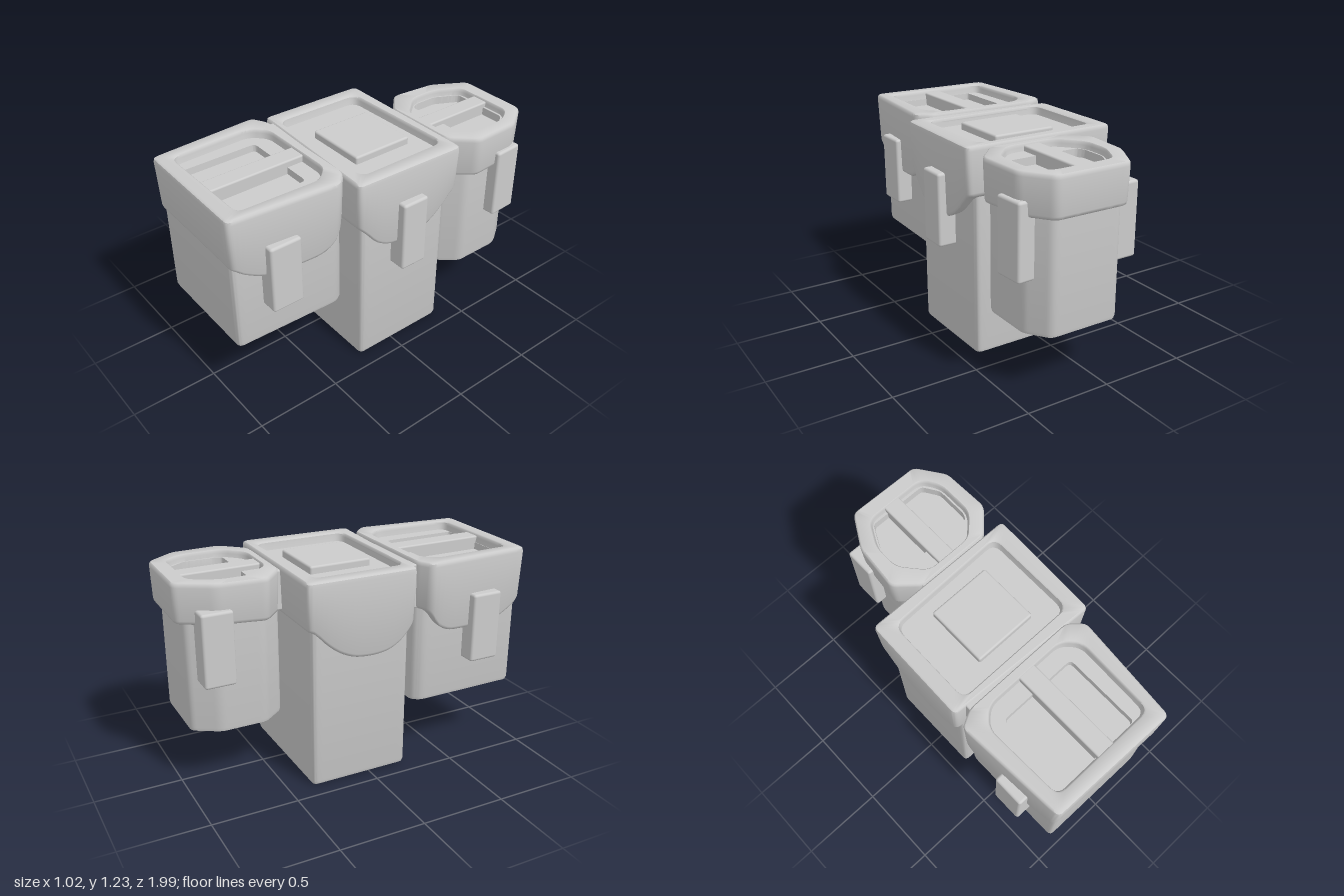
import * as THREE from 'three';
import { toCreasedNormals } from 'three/addons/utils/BufferGeometryUtils.js';
import { RoundedBoxGeometry } from 'three/addons/geometries/RoundedBoxGeometry.js';

const material = new THREE.MeshStandardMaterial({ color: 0xcccccc });

// Closed outline of [x, z] corners, rounded by r; y is a height or a function of z.
function ring(corners, y, scale = 1, r = 0.03) {
  const n = corners.length;
  const cx = corners.reduce((s, c) => s + c[0], 0) / n;
  const cz = corners.reduce((s, c) => s + c[1], 0) / n;
  const pts = corners.map(([x, z]) => new THREE.Vector2(cx + (x - cx) * scale, cz + (z - cz) * scale));
  const toward = (a, b) => a.clone().lerp(b, Math.min(0.4, r / Math.max(a.distanceTo(b), 1e-6)));
  const out = [];
  for (let i = 0; i < n; i++) {
    const prev = pts[(i + n - 1) % n], p = pts[i], next = pts[(i + 1) % n], after = pts[(i + 2) % n];
    out.push(...new THREE.QuadraticBezierCurve(toward(p, prev), p, toward(p, next)).getPoints(5));
    const a = toward(p, next), b = toward(next, p);
    for (let k = 1; k < 20; k++) out.push(a.clone().lerp(b, k / 20));
  }
  return out.map((p) => new THREE.Vector3(p.x, typeof y === 'function' ? y(p.y) : y, p.y));
}

// Skin over rings of equal point count
function loft(rings) {
  const n = rings[0].length, index = [];
  const positions = rings.flat().flatMap((p) => [p.x, p.y, p.z]);
  for (let j = 0; j < rings.length - 1; j++) {
    for (let i = 0; i < n; i++) {
      const a = j * n + i, b = j * n + (i + 1) % n;
      index.push(a, a + n, b, b, a + n, b + n);
    }
  }
  const g = new THREE.BufferGeometry();
  g.setAttribute('position', new THREE.Float32BufferAttribute(positions, 3));
  g.setIndex(index);
  return toCreasedNormals(g, 0.75);
}

// Smooth hem height along z from a few [z, y] points
function hemCurve(points) {
  return (z) => {
    const last = points.length - 1;
    if (z <= points[0][0]) return points[0][1];
    if (z >= points[last][0]) return points[last][1];
    const i = points.findIndex((p) => p[0] > z) - 1;
    const t = (z - points[i][0]) / (points[i + 1][0] - points[i][0]);
    const slope = (k) => {
      const a = points[Math.max(k - 1, 0)], b = points[Math.min(k + 1, last)];
      return (b[1] - a[1]) / (b[0] - a[0]);
    };
    const h = points[i + 1][0] - points[i][0], t2 = t * t, t3 = t2 * t;
    return (2 * t3 - 3 * t2 + 1) * points[i][1] + (t3 - 2 * t2 + t) * h * slope(i)
      + (3 * t2 - 2 * t3) * points[i + 1][1] + (t3 - t2) * h * slope(i + 1);
  };
}

function mesh(name, geometry, parent) {
  const m = new THREE.Mesh(geometry, material);
  m.name = name;
  parent.add(m);
  return m;
}

// Rounded block between two limits on each axis
function block(name, parent, [x0, x1], [y0, y1], [z0, z1], r = 0.015) {
  const m = mesh(name, new RoundedBoxGeometry(x1 - x0, y1 - y0, z1 - z0, 3, r), parent);
  m.position.set((x0 + x1) / 2, (y0 + y1) / 2, (z0 + z1) / 2);
  return m;
}

function pouch(name, parent, { body, base, lid, top, hem, recess, recessR, depth, well, wellDepth }) {
  const group = new THREE.Group();
  group.name = name;
  parent.add(group);

  // Body with a softened bottom edge
  mesh('pouchBody', loft([
    ring(body, base, 0), ring(body, base, 0.95), ring(body, base + 0.006, 0.985),
    ring(body, base + 0.025), ring(body, top - 0.15),
  ]), group);

  // Lid with scalloped hem, rounded rim and sunken panel
  const lift = (d) => (z) => hem(z) + d;
  const floor = top - depth;
  const rings = [
    ring(lid, lift(0.005), 0.8), ring(lid, lift(0), 0.95), ring(lid, lift(0.005), 0.97), ring(lid, lift(0.02), 0.982),
    ring(lid, top - 0.025), ring(lid, top - 0.007, 0.992), ring(lid, top, 0.97),
    ring(recess, top, 1.025, recessR), ring(recess, top - 0.006, 1.005, recessR),
    ring(recess, top - 0.02, 1, recessR), ring(recess, floor, 0.98, recessR),
  ];
  if (well) rings.push(ring(well, floor, 1, 0.02), ring(well, top - wellDepth, 0.99, 0.02), ring(well, top - wellDepth, 0));
  else rings.push(ring(recess, floor, 0));
  mesh('pouchLid', loft(rings), group);
  return group;
}

export function createModel() {
  const model = new THREE.Group();
  model.name = 'pouchRow';

  // Front pouch
  const front = pouch('frontPouch', model, {
    body: [[-0.415, 0.33], [-0.38, 0.28], [0.27, 0.28], [0.3, 0.33], [0.28, 0.97], [-0.41, 0.965]],
    base: 0.388,
    lid: [[-0.485, 0.33], [-0.39, 0.28], [0.3, 0.28], [0.38, 0.355], [0.325, 0.995], [-0.445, 0.98]],
    top: 1.235,
    hem: hemCurve([[0.28, 0.96], [0.33, 0.95], [0.4, 0.86], [0.5, 0.82], [0.8, 0.83], [0.91, 0.88], [0.97, 0.925], [1, 0.925]]),
    recess: [[-0.385, 0.42], [-0.3, 0.335], [0.2, 0.335], [0.28, 0.42], [0.265, 0.9], [-0.37, 0.9]],
    recessR: 0.05, depth: 0.05,
    well: [[-0.295, 0.45], [-0.28, 0.435], [0.17, 0.435], [0.185, 0.45], [0.185, 0.89], [-0.295, 0.89]],
    wellDepth: 0.09,
  });
  block('lidBar', front, [-0.09, 0.02], [1.12, 1.223], [0.32, 0.92], 0.01);
  block('rightStrap', front, [0.2, 0.385], [0.615, 1.02], [0.61, 0.8]);
  block('leftStrap', front, [-0.51, -0.33], [0.615, 1.02], [0.6, 0.785]);

  // Tall middle pouch
  const middle = pouch('middlePouch', model, {
    body: [[-0.41, -0.36], [0.405, -0.36], [0.405, 0.24], [-0.41, 0.235]],
    base: 0.005,
    lid: [[-0.455, -0.4], [0.475, -0.395], [0.455, 0.295], [-0.465, 0.25]],
    top: 1.222,
    hem: hemCurve([[-0.4, 0.95], [-0.36, 0.94], [-0.28, 0.86], [-0.2, 0.8], [-0.1, 0.762], [0.06, 0.762], [0.16, 0.81], [0.24, 0.9], [0.29, 0.95]]),
    recess: [[-0.365, -0.325], [0.37, -0.345], [0.37, 0.215], [-0.37, 0.215]],
    recessR: 0.06, depth: 0.05,
  });
  block('lidPanel', middle, [-0.17, 0.21], [1.1, 1.215], [-0.25, 0.12], 0.012);
  block('rightStrap', middle, [0.34, 0.508], [0.597, 1.02], [-0.14, 0.03]);

  // Eight-sided rear pouch
  const rear = pouch('rearPouch', model, {
    body: [[-0.08, -0.95], [0.33, -0.95], [0.42, -0.82], [0.42, -0.52], [0.32, -0.4], [-0.07, -0.4], [-0.17, -0.53], [-0.17, -0.8]],
    base: 0.342,
    lid: [[-0.09, -1], [0.35, -0.995], [0.465, -0.83], [0.475, -0.54], [0.35, -0.405], [-0.1, -0.405], [-0.23, -0.52], [-0.205, -0.8]],
    top: 1.212,
    hem: hemCurve([[-1, 0.985], [-0.7, 0.98], [-0.4, 0.965]]),
    recess: [[-0.05, -0.905], [0.32, -0.905], [0.385, -0.8], [0.385, -0.57], [0.27, -0.45], [-0.01, -0.45], [-0.13, -0.59], [-0.13, -0.75]],
    recessR: 0.05, depth: 0.04,
    well: [[-0.045, -0.885], [0.31, -0.885], [0.37, -0.79], [0.37, -0.6], [0.355, -0.56], [-0.09, -0.56], [-0.115, -0.6], [-0.115, -0.745]],
    wellDepth: 0.085,
  });
  block('lidBar', rear, [0.06, 0.165], [1.1, 1.202], [-0.92, -0.44], 0.01);
  block('rightStrap', rear, [0.3, 0.487], [0.648, 1.068], [-0.87, -0.69]).rotation.y = 0.06;
  block('leftStrap', rear, [-0.238, -0.07], [0.648, 1.068], [-0.9, -0.72]);

  // Bridges joining neighbouring lids
  block('frontBridge', model, [-0.39, 0.29], [0.96, 1.215], [0.215, 0.315], 0.01);
  block('rearBridge', model, [-0.1, 0.34], [0.97, 1.2], [-0.43, -0.37], 0.01);

  return model;
}
